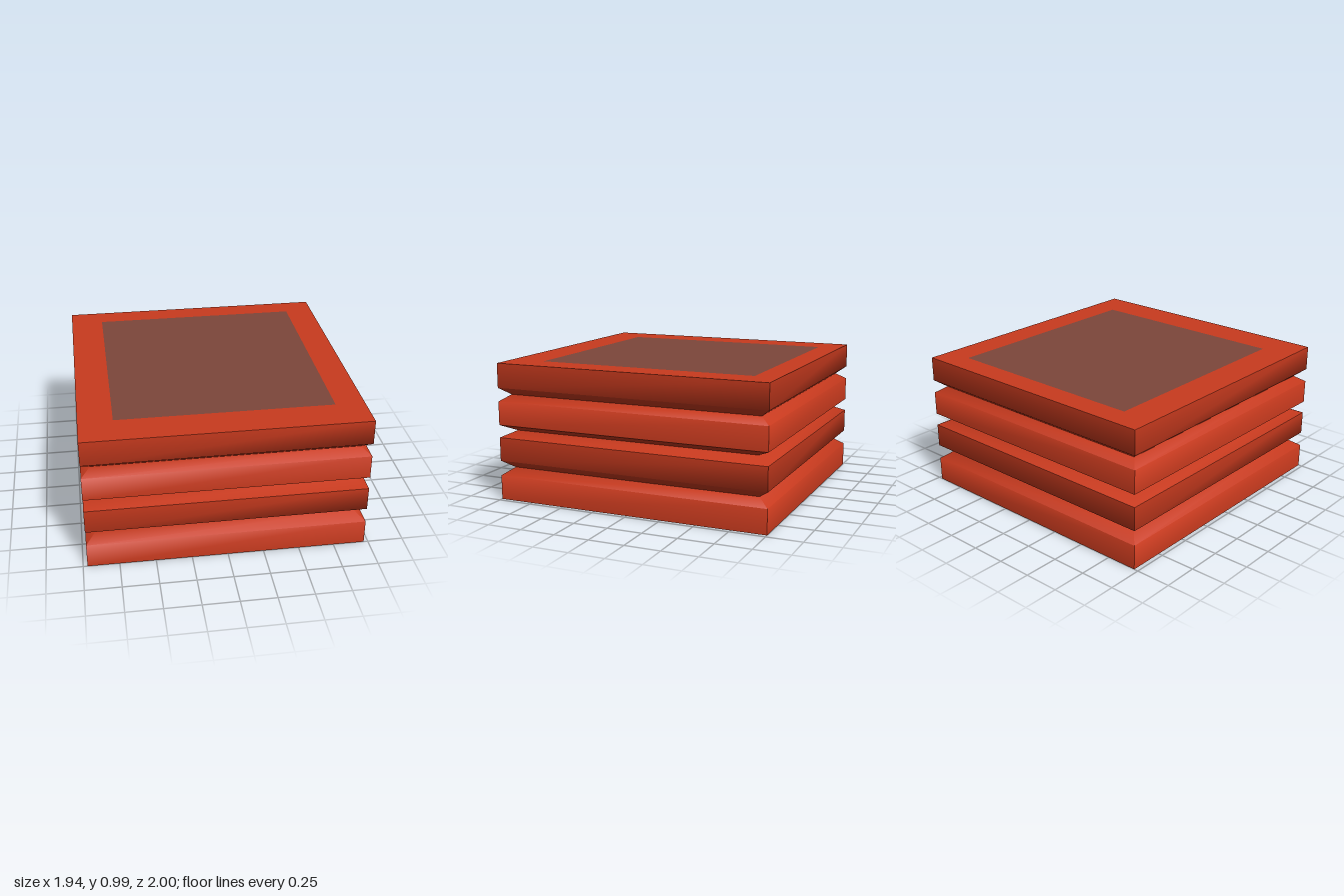
import * as THREE from 'three';
import { toCreasedNormals } from 'three/addons/utils/BufferGeometryUtils.js';

const HX = 0.97, HZ = 1, TOP = 0.985;
const red = new THREE.MeshStandardMaterial({ color: 0xc83a1e });
const brown = new THREE.MeshStandardMaterial({ color: 0x7d463a });

// Rectangular cross-sections from bottom to top: [half width, half depth, y]
const sections = [
  [HX, HZ, 0], [HX, HZ, 0.175], [0.9, 0.922, 0.228], [HX, HZ, 0.283],
  [HX, HZ, 0.452], [0.883, 0.903, 0.497], [HX, HZ, 0.543],
  [HX, HZ, 0.712], [0.905, 0.93, 0.758], [HX, HZ, 0.81], [HX, HZ, TOP],
];

// Loft the sections into four grooved walls
function wallGeometry() {
  const corners = [[1, 1], [1, -1], [-1, -1], [-1, 1]];
  const pos = [], index = [];
  for (const [x, z, y] of sections)
    for (const [sx, sz] of corners) pos.push(sx * x, y, sz * z);
  for (let i = 0; i < sections.length - 1; i++) {
    for (let j = 0; j < 4; j++) {
      const a = i * 4 + j, b = i * 4 + (j + 1) % 4;
      index.push(a, b, b + 4, a, b + 4, a + 4);
    }
  }
  const g = new THREE.BufferGeometry();
  g.setAttribute('position', new THREE.Float32BufferAttribute(pos, 3));
  g.setIndex(index);
  return toCreasedNormals(g, 1.0);
}

function rectangle(Type, x0, x1, y0, y1) {
  return new Type([[x0, y0], [x1, y0], [x1, y1], [x0, y1]].map(p => new THREE.Vector2(...p)));
}

// Flat cap: a red frame around a flush brown panel, facing up or down
function cap(name, y, facing, x0, x1, z0, z1) {
  const group = new THREE.Group();
  group.name = name;
  // After the turn, shape y becomes -z (facing up) or +z (facing down)
  const [v0, v1] = facing > 0 ? [-z1, -z0] : [z0, z1];
  const frameShape = rectangle(THREE.Shape, -HX, HX, -HZ, HZ);
  frameShape.holes.push(rectangle(THREE.Path, x0, x1, v0, v1));
  const frame = new THREE.Mesh(new THREE.ShapeGeometry(frameShape), red);
  frame.name = name + 'Frame';
  const panel = new THREE.Mesh(
    new THREE.ShapeGeometry(rectangle(THREE.Shape, x0, x1, v0, v1)), brown);
  panel.name = name + 'Panel';
  group.add(frame, panel);
  group.rotation.x = -facing * Math.PI / 2;
  group.position.y = y;
  return group;
}

export function createModel() {
  const model = new THREE.Group();
  model.name = 'groovedBlock';
  const walls = new THREE.Mesh(wallGeometry(), red);
  walls.name = 'groovedWalls';
  model.add(
    walls,
    cap('top', TOP, 1, -0.735, 0.765, -0.83, 0.745),
    cap('bottom', 0, -1, -0.81, 0.73, -0.78, 0.76),
  );
  return model;
}
